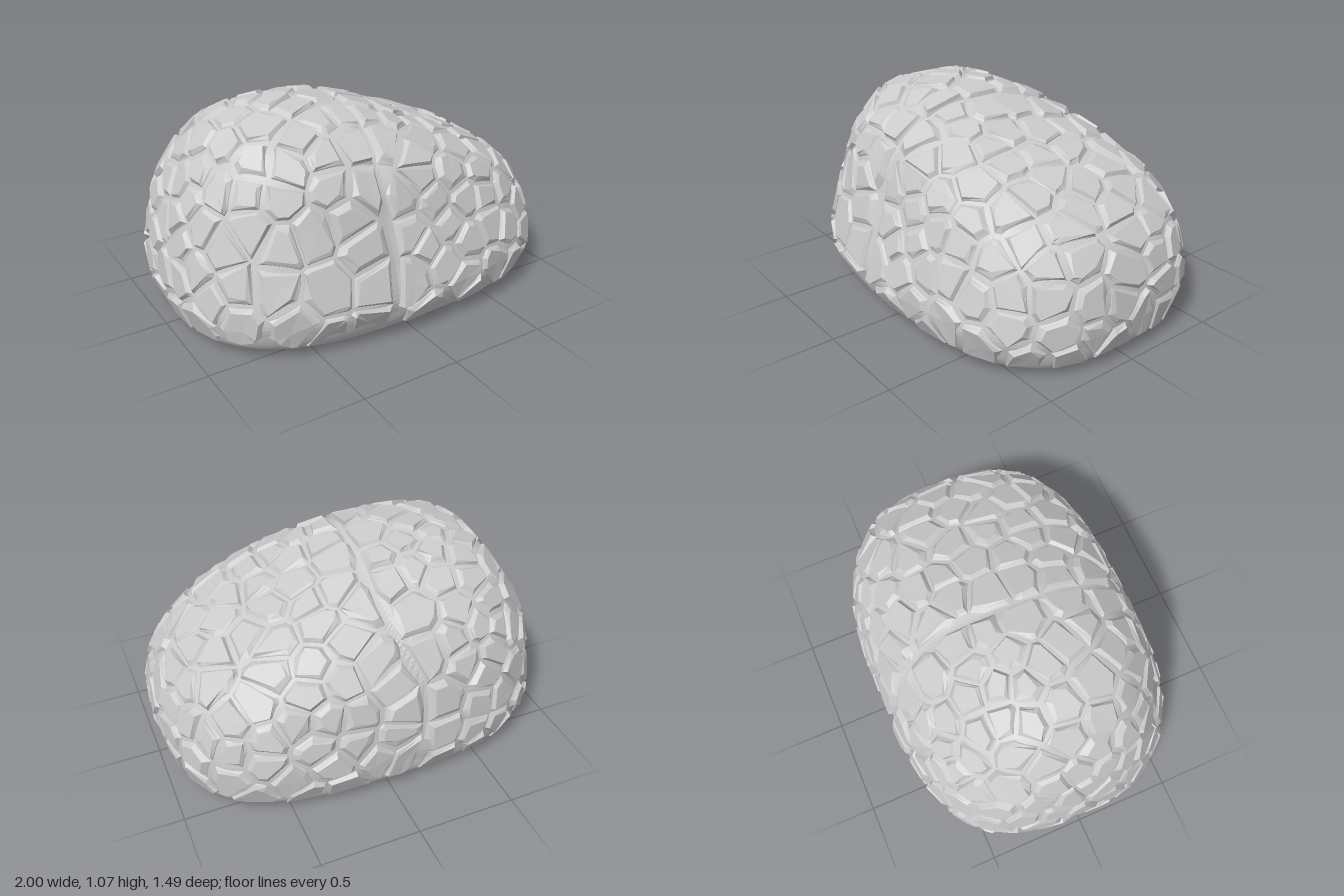
import * as THREE from 'three';

const V = (x, y, z) => new THREE.Vector3(x, y, z);

// Seeded random numbers
let seed = 11;
const rand = () => {
  seed = (seed * 1664525 + 1013904223) % 4294967296;
  return seed / 4294967296;
};

// Body outline by height: y, left-most x, right-most x, front z, back z
const ROWS = [
  [0.015, -0.86, 0.86, 0.56, -0.58],
  [0.06, -0.945, 0.94, 0.665, -0.68],
  [0.2, -0.995, 0.99, 0.74, -0.735],
  [0.4, -0.98, 0.975, 0.695, -0.72],
  [0.6, -0.935, 0.875, 0.63, -0.67],
  [0.75, -0.875, 0.65, 0.585, -0.585],
  [0.87, -0.8, 0.36, 0.505, -0.47],
  [0.96, -0.73, 0.13, 0.4, -0.34],
  [1.03, -0.58, -0.08, 0.25, -0.18],
  [1.064, -0.36, -0.32, 0.06, 0.0],
];
const spline = (pick) => new THREE.CatmullRomCurve3(ROWS.map(pick), false, 'catmullrom');
const sideCurve = spline((r) => V(r[1], r[0], r[2]));
const depthCurve = spline((r) => V(r[3], r[0], r[4]));

// Long wavy crack that runs over the rock from front to back
const crackDistance = (p) => p.x + 0.04 + 0.2 * p.z * p.z + 0.03 * Math.sin(7 * p.y + 3 * p.z);
const floorY = (p) => Math.max(0, 0.012 + 0.01 * p.z - 0.004 * p.x);

// Point of the smooth body: u runs round it, t from bottom to top
function bodyPoint(u, t) {
  const a = sideCurve.getPoint(t), b = depthCurve.getPoint(t);
  const c = Math.cos(u), s = Math.sin(u);
  const n = 2.92 + 0.06 * c + 0.19 * c * s - 0.4 * t;
  const r = Math.pow(Math.abs(c) ** n + Math.abs(s) ** n, -1 / n);
  return V((a.x + a.z) / 2 + r * c * (a.z - a.x) / 2, a.y, (b.x + b.z) / 2 + r * s * (b.x - b.z) / 2);
}

function bodySample(u, t) {
  const e = 0.004, t0 = Math.max(0, t - e), t1 = Math.min(1, t + e);
  const du = bodyPoint(u + e, t).sub(bodyPoint(u - e, t));
  const dt = bodyPoint(u, t1).sub(bodyPoint(u, t0));
  return { p: bodyPoint(u, t), n: dt.cross(du).normalize() };
}

function sampleGrid(cols, rows) {
  const grid = [];
  for (let j = 0; j <= rows; j++) {
    for (let i = 0; i < cols; i++) grid.push(bodySample((i / cols) * Math.PI * 2, (j / rows) * 0.995));
  }
  return grid;
}

function meshFrom(name, points, index) {
  let geometry = new THREE.BufferGeometry().setFromPoints(points);
  if (index) {
    geometry.setIndex(index);
    geometry = geometry.toNonIndexed();
  }
  geometry.computeVertexNormals();
  const mesh = new THREE.Mesh(geometry, new THREE.MeshStandardMaterial({ color: 0xcccccc, flatShading: true }));
  mesh.name = name;
  return mesh;
}

// Recessed body that shows in the joints, closed by a flat underside
function makeBody() {
  const cols = 160, rows = 70;
  const points = sampleGrid(cols, rows).map(({ p, n }, k) => {
    const crack = 0.01 * Math.exp(-((crackDistance(p) / 0.04) ** 2));
    const q = p.clone().addScaledVector(n, -(0.018 + crack) * THREE.MathUtils.smoothstep(p.y, 0.04, 0.16));
    q.y = k < cols ? floorY(q) : Math.max(q.y, floorY(q));
    return q;
  });
  const index = [];
  const bottom = points.push(V(0, 0.012, 0)) - 1;
  const top = points.push(V(-0.34, 1.044, 0.03)) - 1;
  for (let i = 0; i < cols; i++) {
    const i2 = (i + 1) % cols;
    for (let j = 0; j < rows; j++) {
      const a = j * cols + i, d = j * cols + i2;
      index.push(a, a + cols, d, a + cols, d + cols, d);
    }
    index.push(bottom, i, i2, top, rows * cols + i2, rows * cols + i);
  }
  return meshFrom('rockBody', points, index);
}

// Keeps the part of a flat polygon where p . d <= limit
function clip(poly, d, limit) {
  const out = [];
  poly.forEach((a, i) => {
    const b = poly[(i + 1) % poly.length];
    const da = a.dot(d) - limit, db = b.dot(d) - limit;
    if (da <= 0) out.push(a);
    if (da * db < 0) out.push(a.clone().lerp(b, da / (da - db)));
  });
  return out;
}

// Scattered stone centres with uneven spacing
function scatter(samples) {
  const order = samples.filter(({ p }) => p.y > 0.11 && Math.abs(crackDistance(p)) > 0.07);
  for (let i = order.length - 1; i > 0; i--) {
    const j = Math.floor(rand() * (i + 1));
    [order[i], order[j]] = [order[j], order[i]];
  }
  const centres = [];
  for (const s of order) {
    const gap = 0.12 + 0.1 * rand();
    if (centres.every((c) => c.p.distanceTo(s.p) > gap)) centres.push(s);
  }
  return centres;
}

// Flat-topped stones with bevelled sides, one for each cell of the surface
function makeStones() {
  const samples = sampleGrid(160, 80);
  const centres = scatter(samples);
  const tris = [];

  // Nearest place on the body, and the height of a point above it
  const project = (q) => {
    let best = null, bestD = Infinity;
    for (const s of samples) {
      const d = s.p.distanceToSquared(q);
      if (d < bestD) { bestD = d; best = s; }
    }
    return { n: best.n, height: best.n.dot(q.clone().sub(best.p)) };
  };
  // Moves a point to a height within the given limits
  const drop = (q, low, high = low) => {
    const { n, height } = project(q);
    const out = q.clone().addScaledVector(n, THREE.MathUtils.clamp(height, low, high) - height);
    out.y = Math.max(out.y, floorY(out) + 0.004);
    return out;
  };

  for (const { p, n } of centres) {
    const e1 = V(0.3, 1, 0.2).cross(n).normalize();
    const e2 = n.clone().cross(e1);

    // Cell outline on the tangent plane, relative to the centre
    let cell = [];
    for (let k = 0; k < 10; k++) {
      const a = (k / 10) * Math.PI * 2;
      cell.push(e1.clone().multiplyScalar(0.17 * Math.cos(a)).addScaledVector(e2, 0.17 * Math.sin(a)));
    }
    for (const other of centres) {
      const d = other.p.clone().sub(p);
      const len = d.lengthSq();
      if (len > 1e-8 && len < 0.16) cell = clip(cell, d, len / 2);
    }
    // Stop at the crack and above the rounded lower edge
    const gap = crackDistance(p);
    const wave = 0.03 * Math.cos(7 * p.y + 3 * p.z);
    const across = V(1, 7 * wave, 0.4 * p.z + 3 * wave).multiplyScalar(-Math.sign(gap));
    cell = clip(cell, across, Math.abs(gap) - 0.008);
    cell = clip(cell, V(0, -1, 0), p.y - 0.04);
    cell = cell.filter((c, i) => c.distanceTo(cell[(i + 1) % cell.length]) > 0.025);
    if (cell.length < 3) continue;
    const mid = cell.reduce((m, c) => m.add(c), V(0, 0, 0)).divideScalar(cell.length);
    const wobble = cell.map(() => 0.6 + 1.1 * rand());
    const inset = (amount) => cell.map((c, i) => {
      const r = c.clone().sub(mid);
      return r.multiplyScalar(Math.max(0.35, 1 - (amount * wobble[i]) / r.length())).add(mid).add(p);
    });

    // Foot, shoulder and a level, slightly tilted top
    const foot = inset(0.003).map((q) => drop(q, -0.024));
    const shoulder = inset(0.014 + 0.008 * rand()).map((q) => drop(q, -0.011));
    const rim = inset(0.029 + 0.01 * rand());
    const sink = rim.reduce((s, q) => s + n.dot(drop(q, 0).sub(p)), 0) / rim.length;
    const level = 0.5 * sink + 0.008 * (rand() - 0.5);
    const tilt = e1.clone().multiplyScalar(rand() - 0.5).addScaledVector(e2, rand() - 0.5).multiplyScalar(0.1);
    const top = rim.map((q) => drop(q.clone().addScaledVector(n, level + tilt.dot(q.clone().sub(p))), -0.006, 0.008));

    for (const [low, high] of [[foot, shoulder], [shoulder, top]]) {
      low.forEach((a, i) => {
        const j = (i + 1) % low.length;
        tris.push(a, low[j], high[j], a, high[j], high[i]);
      });
    }
    const peak = top.reduce((m, q) => m.add(q), V(0, 0, 0)).divideScalar(top.length);
    top.forEach((q, i) => tris.push(peak, q, top[(i + 1) % top.length]));
  }
  return meshFrom('surfaceStones', tris);
}

export function createModel() {
  seed = 11;
  const group = new THREE.Group();
  group.name = 'cobbledRock';
  group.add(makeBody(), makeStones());
  return group;
}
